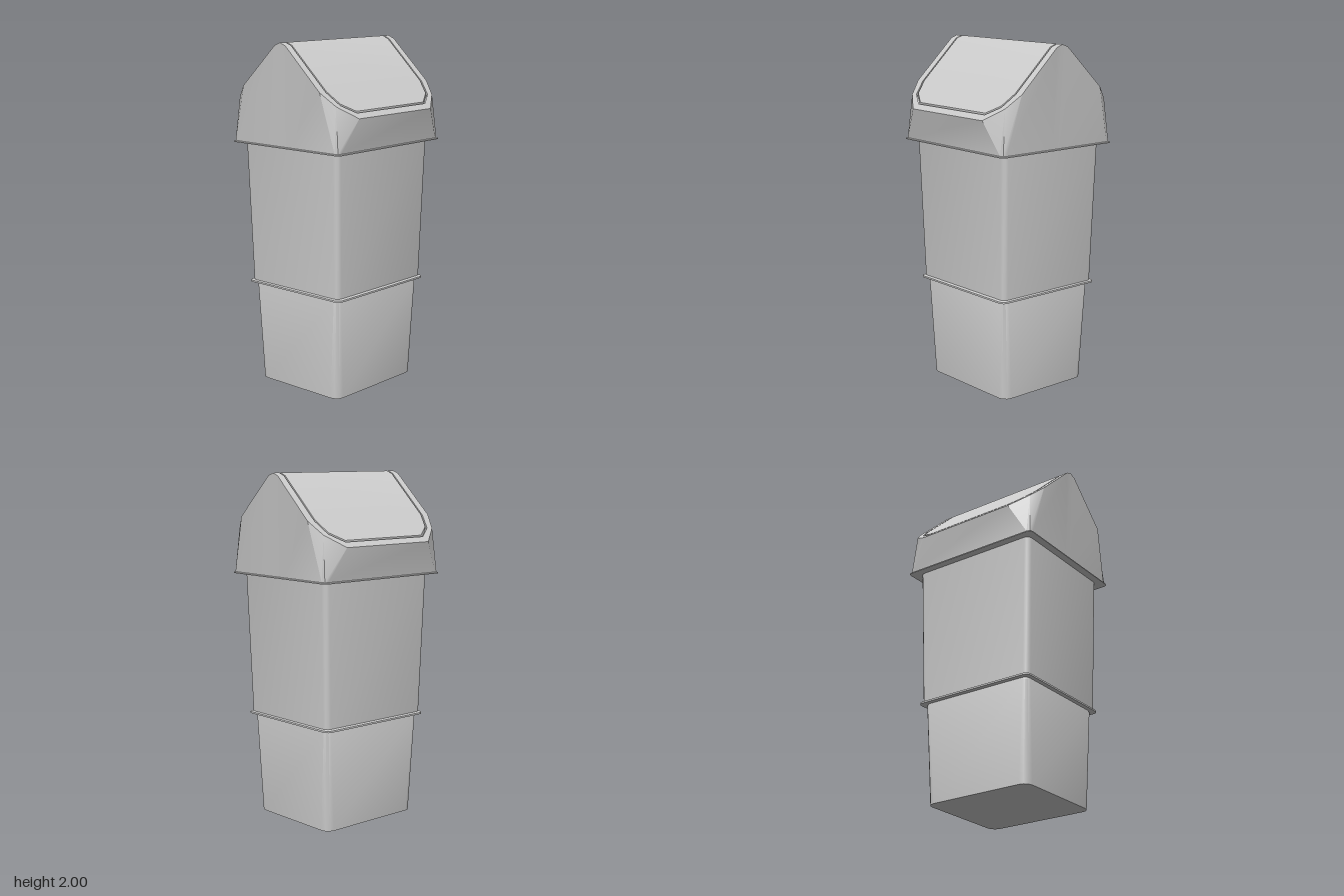
import * as THREE from 'three';
import { toCreasedNormals } from 'three/addons/utils/BufferGeometryUtils.js';

const material = new THREE.MeshStandardMaterial({ color: 0xcccccc, side: THREE.DoubleSide });

function meshFrom(name, tris) {
  const pos = [];
  for (const [a, b, c] of tris) {
    const t = new THREE.Triangle(a, b, c);
    if (t.getArea() > 1e-9) for (const p of [a, b, c]) pos.push(p.x, p.y, p.z);
  }
  const geo = new THREE.BufferGeometry();
  geo.setAttribute('position', new THREE.Float32BufferAttribute(pos, 3));
  const mesh = new THREE.Mesh(toCreasedNormals(geo, 0.55), material);
  mesh.name = name;
  return mesh;
}

// Triangles joining closed rings, each running counterclockwise seen from above
function skin(rings) {
  const tris = [];
  for (let r = 0; r + 1 < rings.length; r++) {
    const lo = rings[r], hi = rings[r + 1], n = lo.length;
    for (let i = 0; i < n; i++) {
      const j = (i + 1) % n;
      tris.push([lo[i], lo[j], hi[j]], [lo[i], hi[j], hi[i]]);
    }
  }
  return tris;
}

// Horizontal rounded rectangle
function rect(hx, hz, y, r) {
  const pts = [];
  for (const [sx, sz, start] of [[1, 1, -90], [1, -1, 0], [-1, -1, 90], [-1, 1, 180]]) {
    for (let k = 0; k <= 3; k++) {
      const t = THREE.MathUtils.degToRad(start + k * 30);
      pts.push(new THREE.Vector3(sx * (hx - r) + r * Math.cos(t), y, sz * (hz - r) - r * Math.sin(t)));
    }
  }
  return pts;
}

// Height of the gabled lid at depth z, with a small rounded ridge
function roofY(z) {
  const d = Math.abs(z);
  return d < 0.04 ? 2 - d * 0.375 : 1.985 - (d - 0.04) * 0.9375;
}

// Full outline from its front right quarter of [x, z] points, mirrored twice
function outline(quarter, yOf) {
  const back = quarter.slice(0, -1).reverse().map(([x, z]) => [x, -z]);
  const right = [...quarter, ...back];
  const left = right.slice().reverse().map(([x, z]) => [-x, z]);
  return [...right, ...left].map(([x, z]) => new THREE.Vector3(x, yOf(z), z));
}

export function createModel() {
  const group = new THREE.Group();
  group.name = 'swingTopBin';

  // Tapered lower bin with closed base
  group.add(meshFrom('lowerBody', skin([
    rect(0, 0, 0, 0),
    rect(0.335, 0.305, 0, 0.05),
    rect(0.352, 0.323, 0.58, 0.03),
    rect(0.345, 0.318, 0.595, 0.03),
  ])));

  // Wider upper bin with a small lip at the step
  group.add(meshFrom('upperBody', skin([
    rect(0.335, 0.31, 0.59, 0.03),
    rect(0.378, 0.354, 0.587, 0.03),
    rect(0.378, 0.354, 0.597, 0.03),
    rect(0.367, 0.338, 0.602, 0.03),
    rect(0.394, 0.356, 1.43, 0.03),
  ])));

  // Lid: rim, skirt and gable ends, sloping frame, then the groove around the flap
  const rim = (hx, hz) => [
    [hx - 0.025, hz], [hx - 0.006, hz - 0.006], [hx, hz - 0.025], [hx, 0.04], [hx, 0],
  ];
  const frameOuter = [[0.31, 0.44], [0.415, 0.368], [0.46, 0.29], [0.46, 0.04], [0.46, 0]];
  const frameInner = [[0.295, 0.411], [0.378, 0.364], [0.413, 0.292], [0.416, 0.04], [0.416, 0]];
  const flapEdge = [[0.29, 0.402], [0.37, 0.357], [0.404, 0.288], [0.407, 0.04], [0.407, 0]];
  const floorY = (z) => roofY(z) - 0.025;
  group.add(meshFrom('lid', skin([
    outline(rim(0.38, 0.34), () => 1.425),
    outline(rim(0.442, 0.408), () => 1.418),
    outline(rim(0.442, 0.408), () => 1.424),
    outline(rim(0.435, 0.4), () => 1.427),
    outline(frameOuter, roofY),
    outline(frameInner, roofY),
    outline(frameInner, floorY),
    outline(flapEdge, floorY),
  ])));

  // Swing flap folded over the ridge, spanned from side to side
  const top = outline(flapEdge, roofY);
  const flap = skin([outline(flapEdge, floorY), top]);
  const last = top.length - 1;
  for (let i = 0; i < top.length / 2 - 1; i++) {
    const a = top[i], b = top[i + 1], c = top[last - i - 1], d = top[last - i];
    flap.push([a, b, c], [a, c, d]);
  }
  group.add(meshFrom('swingFlap', flap));

  return group;
}
